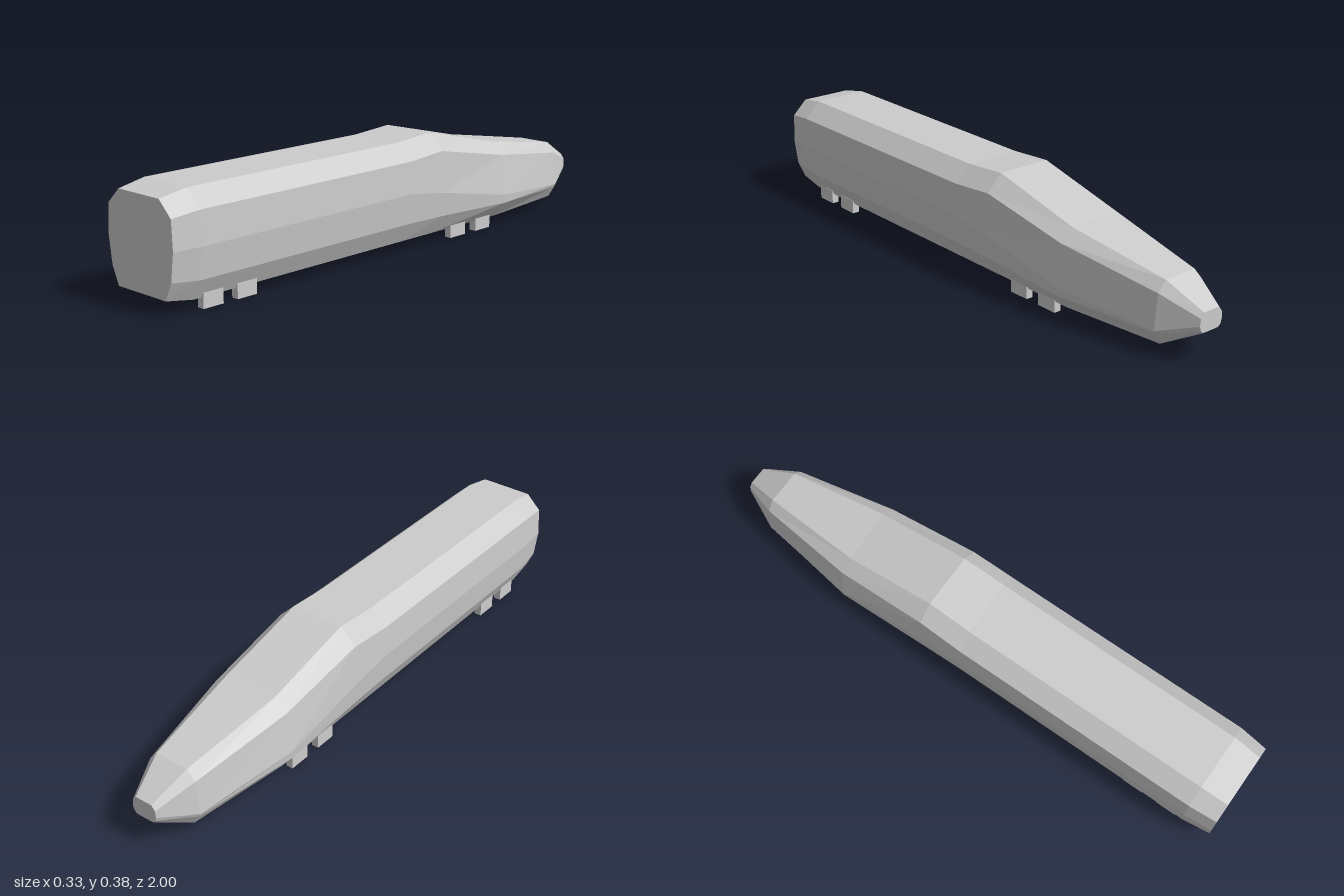
import * as THREE from 'three';

// Cross-sections along the hull: z, then the +x half outline from the floor up as [x, y]
const sections = [
  [1.0, [[0.112, 0.05], [0.14, 0.11], [0.153, 0.205], [0.148, 0.303], [0.095, 0.354]]],
  [0.9, [[0.117, 0.034], [0.15, 0.1], [0.163, 0.205], [0.158, 0.315], [0.1, 0.372]]],
  [0.0, [[0.117, 0.034], [0.15, 0.1], [0.163, 0.205], [0.158, 0.315], [0.1, 0.372]]],
  [-0.16, [[0.117, 0.034], [0.153, 0.098], [0.163, 0.183], [0.155, 0.327], [0.098, 0.384]]],
  [-0.5, [[0.117, 0.034], [0.16, 0.087], [0.163, 0.117], [0.145, 0.26], [0.098, 0.302]]],
  [-0.87, [[0.075, 0.034], [0.1, 0.073], [0.105, 0.085], [0.092, 0.205], [0.062, 0.241]]],
  [-1.0, [[0.033, 0.105], [0.043, 0.115], [0.047, 0.13], [0.045, 0.155], [0.032, 0.172]]],
];

function loftHull() {
  const rings = sections.map(([z, half]) => [
    ...half.map(([x, y]) => [x, y, z]),
    ...half.map(([x, y]) => [-x, y, z]).reverse(),
  ]);
  const positions = [];
  const tri = (a, b, c) => positions.push(...a, ...b, ...c);
  const n = rings[0].length;
  for (let i = 0; i < rings.length - 1; i++) {
    for (let j = 0; j < n; j++) {
      const k = (j + 1) % n;
      tri(rings[i][j], rings[i + 1][j], rings[i + 1][k]);
      tri(rings[i][j], rings[i + 1][k], rings[i][k]);
    }
  }
  // Flat end caps
  const first = rings[0], last = rings[rings.length - 1];
  for (let j = 1; j < n - 1; j++) {
    tri(first[0], first[j], first[j + 1]);
    tri(last[0], last[j + 1], last[j]);
  }
  const geometry = new THREE.BufferGeometry();
  geometry.setAttribute('position', new THREE.Float32BufferAttribute(positions, 3));
  geometry.computeVertexNormals();
  return geometry;
}

export function createModel() {
  const model = new THREE.Group();
  model.name = 'train';
  const grey = new THREE.MeshStandardMaterial({ color: 0xcccccc });
  grey.name = 'light grey';
  grey.flatShading = true;

  // Faceted hull with a tapered nose
  const hull = new THREE.Mesh(loftHull(), grey);
  hull.name = 'hull';
  model.add(hull);

  // Two bogies, each with two pairs of block wheels
  const wheelGeometry = new THREE.BoxGeometry(0.026, 0.05, 0.078);
  const bogies = [['frontBogie', 0.765], ['rearBogie', -0.35]];
  for (const [name, z] of bogies) {
    const bogie = new THREE.Group();
    bogie.name = name;
    bogie.position.z = z;
    for (const side of [-1, 1]) {
      for (const dz of [-0.067, 0.067]) {
        const wheel = new THREE.Mesh(wheelGeometry, grey);
        wheel.name = side > 0 ? 'leftWheel' : 'rightWheel';
        wheel.position.set(side * 0.113, 0.025, dz);
        bogie.add(wheel);
      }
    }
    model.add(bogie);
  }
  return model;
}
